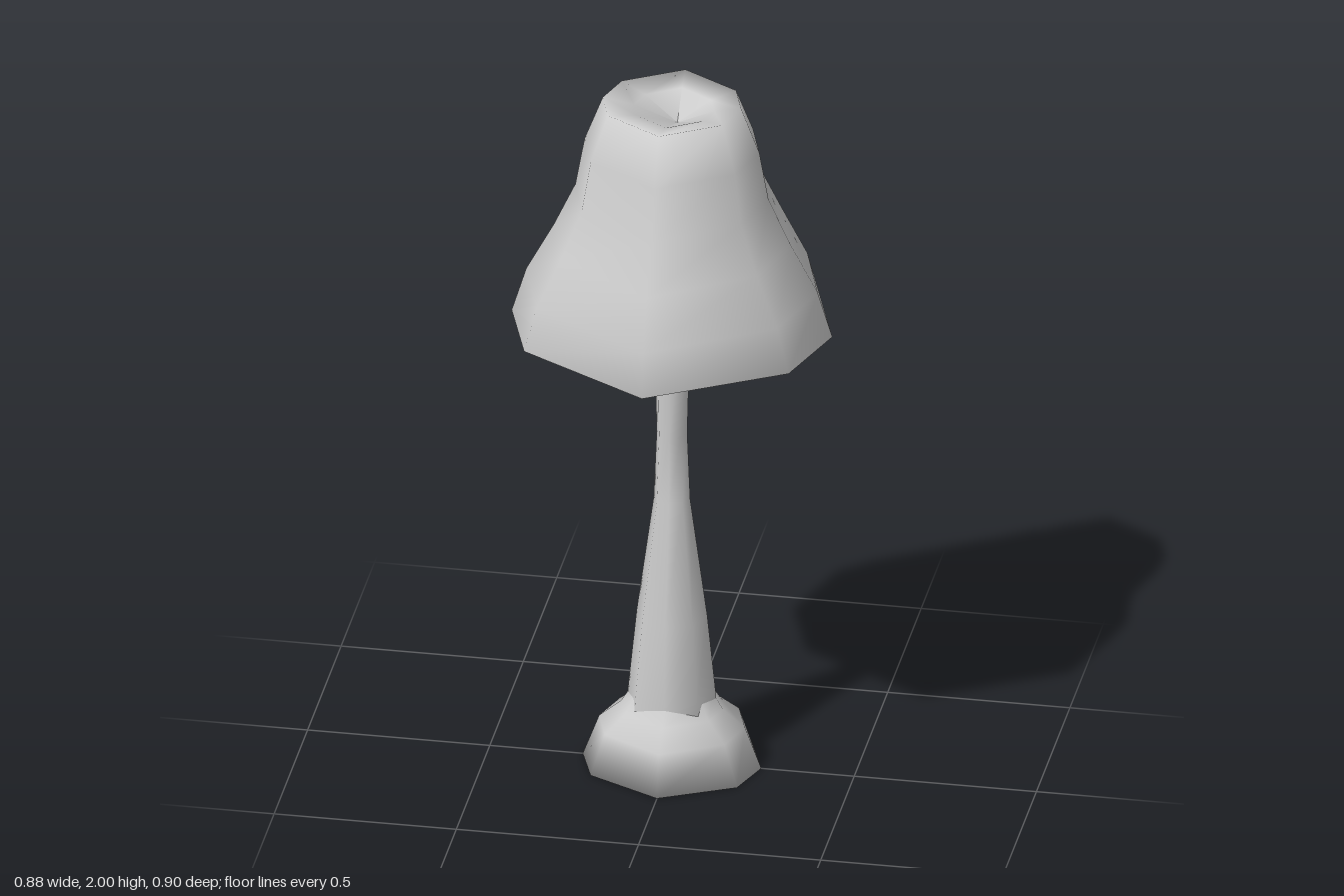
import * as THREE from 'three';

const SIDES = 8;

// Skins a stack of eight-sided rings: [y, x radius, z radius, z offset].
// dx, dz place the four diagonal corners as a share of the radii.
function loft(name, rings, dx, dz) {
  const positions = [], index = [];
  for (const [y, rx, rz, oz = 0] of rings) {
    for (let k = 0; k < SIDES; k++) {
      const a = (k / SIDES) * Math.PI * 2;
      const diagonal = k % 2 === 1;
      const x = diagonal ? Math.sign(Math.cos(a)) * dx : Math.round(Math.cos(a));
      const z = diagonal ? Math.sign(Math.sin(a)) * dz : Math.round(Math.sin(a));
      positions.push(x * rx, y, z * rz + oz);
    }
  }
  for (let i = 0; i < rings.length - 1; i++) {
    for (let k = 0; k < SIDES; k++) {
      const a = i * SIDES + k, b = i * SIDES + ((k + 1) % SIDES);
      const c = a + SIDES, d = b + SIDES;
      index.push(a, c, b, b, c, d);
    }
  }
  const geometry = new THREE.BufferGeometry();
  geometry.setAttribute('position', new THREE.Float32BufferAttribute(positions, 3));
  geometry.setIndex(index);
  geometry.computeVertexNormals();
  const mesh = new THREE.Mesh(geometry, new THREE.MeshStandardMaterial({ color: 0xcccccc }));
  mesh.name = name;
  return mesh;
}

export function createModel() {
  const group = new THREE.Group();
  group.name = 'tableLamp';

  // Squat foot with a flat underside
  group.add(loft('base', [
    [0, 0, 0],
    [0, 0.245, 0.225],
    [0.12, 0.2, 0.2],
    [0.17, 0.14, 0.14],
    [0.22, 0.11, 0.11],
  ], 0.82, 0.55));

  // Tapering stem that runs up inside the shade
  group.add(loft('stem', [
    [0.15, 0.125, 0.12],
    [0.22, 0.12, 0.115],
    [0.45, 0.097, 0.097],
    [0.8, 0.05, 0.046],
    [1.0, 0.042, 0.042],
    [1.33, 0.05, 0.036],
    [1.88, 0.05, 0.036],
  ], 0.71, 0.71));

  // Hollow bell shade: inner wall down, rim, outer wall up, then the sunken top
  const outer = [
    [1.33, 0.44, 0.45],
    [1.46, 0.4, 0.435],
    [1.6, 0.325, 0.38],
    [1.73, 0.265, 0.305],
    [1.87, 0.24, 0.26],
  ];
  const inner = outer.map(([y, rx, rz]) => [y, rx - 0.02, rz - 0.02]).reverse();
  group.add(loft('shade', [
    [1.87, 0, 0],
    ...inner,
    ...outer,
    [2.0, 0.19, 0.2],
    [1.97, 0.11, 0.12, -0.03],
    [1.9, 0, 0, -0.08],
  ], 0.825, 0.52));

  return group;
}
